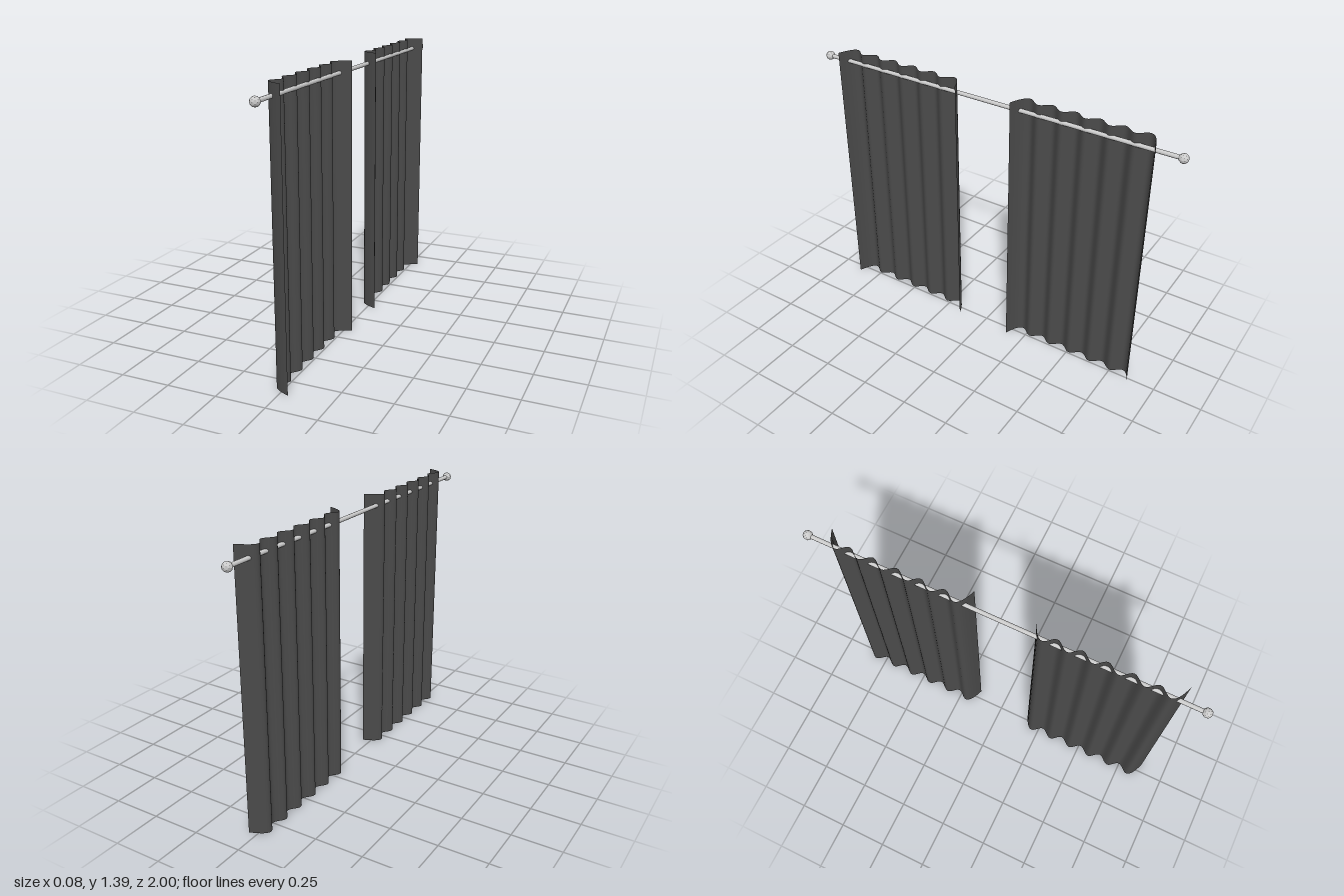
import * as THREE from 'three';

const HEIGHT = 1.388;   // curtain height
const HALF = 0.3585;    // half the width of one curtain
const PITCH = HALF / 3; // six folds per curtain
const ROD_X = -0.013, ROD_Y = 1.33;

// Depth of the cloth at distance s from the curtain's middle:
// even folds, with both outer hems flaring towards +x
function foldDepth(s) {
  const d = Math.abs(s), lastValley = HALF - PITCH / 2;
  if (d > lastValley) return -0.042 + 0.084 * ((d - lastValley) / (PITCH / 2)) ** 2;
  return -0.0245 + 0.0175 * Math.cos((2 * Math.PI * d) / PITCH);
}

function curtainGeometry() {
  const geo = new THREE.PlaneGeometry(2 * HALF, HEIGHT, 96, 1);
  geo.rotateY(Math.PI / 2);
  geo.translate(0, HEIGHT / 2, 0);
  const pos = geo.attributes.position;
  for (let i = 0; i < pos.count; i++) pos.setX(i, foldDepth(pos.getZ(i)));
  geo.computeVertexNormals();
  return geo;
}

export function createModel() {
  const group = new THREE.Group();
  const cloth = new THREE.MeshStandardMaterial({ color: 0x4a4a4a, side: THREE.DoubleSide });
  const metal = new THREE.MeshStandardMaterial({ color: 0xcccccc });
  const facetedMetal = new THREE.MeshStandardMaterial({ color: 0xcccccc, flatShading: true });

  const add = (name, geo, mat, x, y, z) => {
    const mesh = new THREE.Mesh(geo, mat);
    mesh.name = name;
    mesh.position.set(x, y, z);
    group.add(mesh);
  };

  // Rod along z
  const rod = new THREE.CylinderGeometry(0.0105, 0.0105, 1.95, 12);
  rod.rotateX(Math.PI / 2);
  add('rod', rod, metal, ROD_X, ROD_Y, 0);

  // One curtain and one faceted end knob on each side
  const curtain = curtainGeometry();
  const knob = new THREE.IcosahedronGeometry(0.0235, 1);
  for (const [side, label] of [[1, 'front'], [-1, 'back']]) {
    add(label + 'Curtain', curtain, cloth, 0, 0, side * 0.5105);
    add(label + 'Finial', knob, facetedMetal, ROD_X, ROD_Y, side * 0.9765);
  }
  return group;
}
